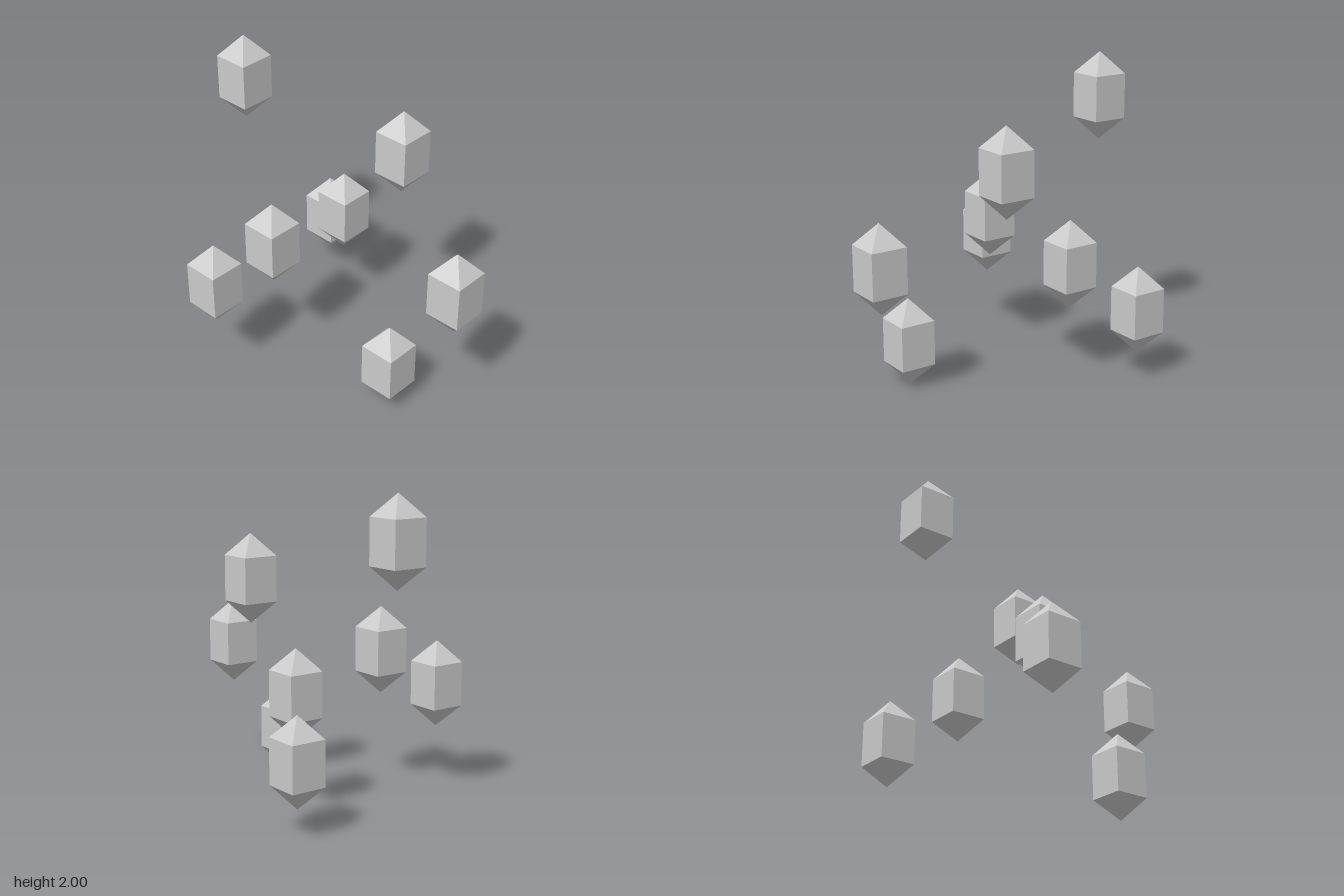
import * as THREE from 'three';

export function createModel() {
  const group = new THREE.Group();
  group.name = 'crystalCluster';
  const stone = new THREE.MeshStandardMaterial({ color: 0xcccccc, flatShading: true });
  stone.name = 'paleGrey';

  // Four-sided prism with a pyramid at each end, corners on the x and z axes
  const radius = 0.165, half = 0.285, shoulder = 0.145;
  const profile = [[0, -half], [radius, -shoulder], [radius, shoulder], [0, half]]
    .map(([r, y]) => new THREE.Vector2(r, y));
  const crystalShape = new THREE.LatheGeometry(profile, 4).toNonIndexed();
  crystalShape.computeVertexNormals();

  // Centre of each floating crystal
  const centres = [
    [-0.52, 1.715, -0.417],
    [0.439, 1.419, 0.025],
    [-0.36, 0.935, 0.278],
    [0.712, 0.877, 0.73],
    [-0.717, 0.703, 0.366],
    [0.098, 0.765, -0.314],
    [0.021, 0.46, -0.733],
    [0.341, 0.285, 0.665],
  ];
  centres.forEach(([x, y, z], i) => {
    const crystal = new THREE.Mesh(crystalShape, stone);
    crystal.name = `crystal${i + 1}`;
    crystal.position.set(x, y, z);
    group.add(crystal);
  });
  return group;
}
